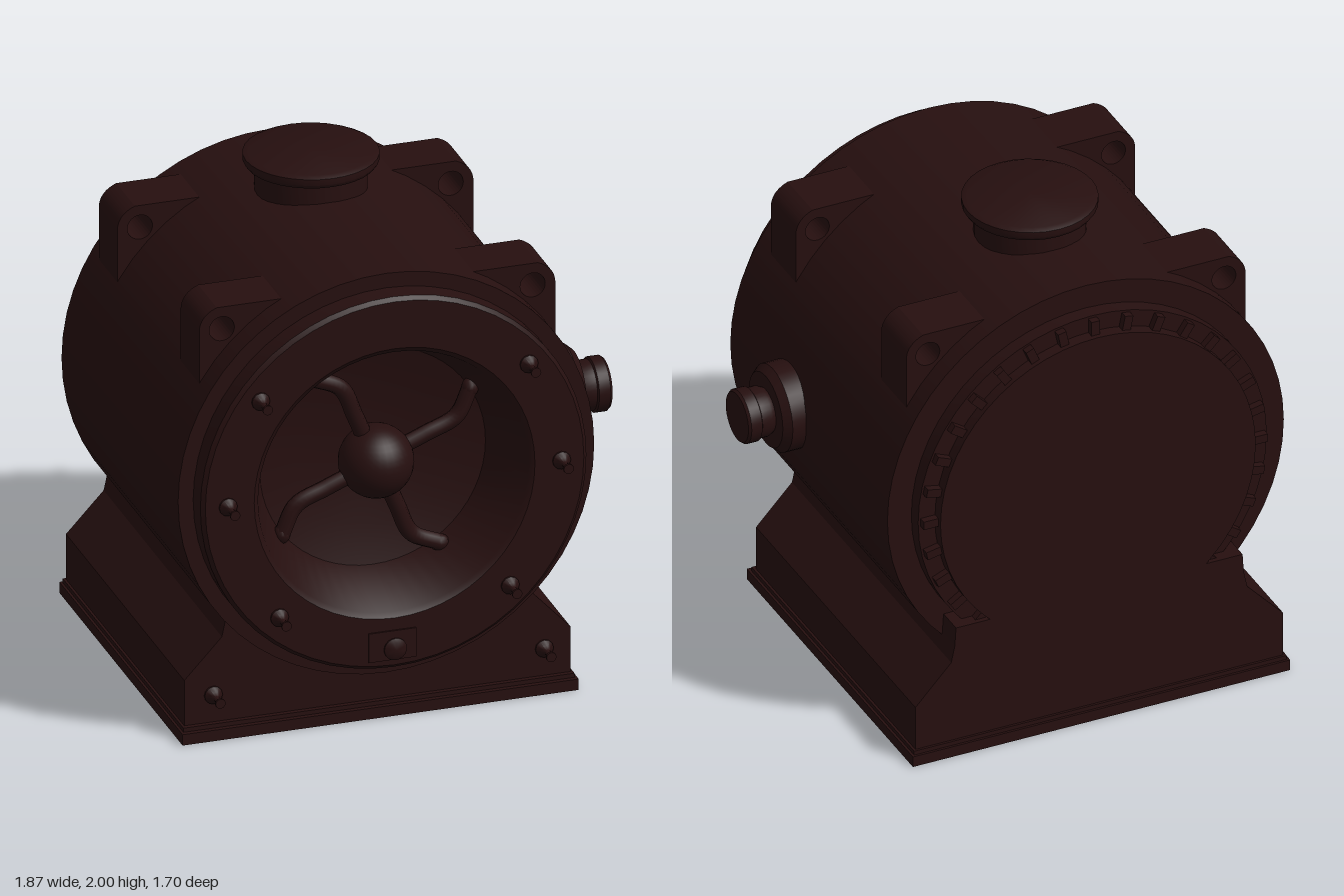
import * as THREE from 'three';
import { toCreasedNormals } from 'three/addons/utils/BufferGeometryUtils.js';

export function createModel() {
  const model = new THREE.Group();
  model.name = 'motorHousing';
  const iron = new THREE.MeshStandardMaterial({ color: 0x260f0f });
  iron.name = 'darkIron';
  const CX = -0.105, CY = 1.04; // drum axis

  const add = (name, geometry, x = 0, y = 0, z = 0, parent = model) => {
    const mesh = new THREE.Mesh(geometry, iron);
    mesh.name = name;
    mesh.position.set(x, y, z);
    parent.add(mesh);
    return mesh;
  };
  // Revolved profile of [radius, height] pairs, listed bottom to top
  const lathe = (profile, segments = 32) => toCreasedNormals(
    new THREE.LatheGeometry(profile.map(([r, h]) => new THREE.Vector2(r, h)), segments), 0.6);
  const extrude = (shape, depth) => new THREE.ExtrudeGeometry(shape,
    { depth, bevelEnabled: false, curveSegments: 16 });

  // Drum with stepped rear cover, front ring and dished opening, in one profile
  const drum = lathe([
    [0, -0.83], [0.66, -0.83], [0.66, -0.78], [0.73, -0.78], [0.73, -0.72],
    [0.83, -0.72], [0.83, 0.66], [0.77, 0.66], [0.77, 0.745], [0.755, 0.76],
    [0.56, 0.76], [0.54, 0.745], [0.45, 0.5], [0.3, 0.46], [0, 0.44],
  ], 56).rotateX(Math.PI / 2);
  add('drumHousing', drum, CX, CY);

  // Raised ribs round the rim of the rear cover
  for (let i = 0; i < 32; i++) {
    const a = i / 32 * Math.PI * 2;
    const rib = add('rearRib', new THREE.BoxGeometry(0.07, 0.035, 0.05),
      CX + Math.cos(a) * 0.685, CY + Math.sin(a) * 0.685, -0.785);
    rib.rotation.z = a;
  }

  // Pedestal with sloping shoulders
  const outline = [[-0.77, 0.05], [0.77, 0.05], [0.77, 0.25], [0.62, 0.41],
    [0.605, 0.48], [0.6, 0.56], [-0.6, 0.56], [-0.605, 0.48], [-0.62, 0.41], [-0.77, 0.25]];
  add('pedestal', extrude(new THREE.Shape(outline.map(([x, y]) => new THREE.Vector2(x, y))), 1.4),
    -0.11, 0, -0.83);

  // Foot plate with a narrow chamfered lip
  add('footPlate', new THREE.BoxGeometry(1.58, 0.045, 1.46), -0.11, 0.0225, -0.12);
  add('footLip', new THREE.BoxGeometry(1.56, 0.02, 1.43), -0.11, 0.052, -0.125);

  // Four lifting lugs with rounded corners and eye holes
  for (const side of [-1, 1]) {
    for (const z of [0.335, -0.635]) {
      const s = new THREE.Shape();
      s.moveTo(0.28, 1.45 - CY);
      s.lineTo(0.71, 1.45 - CY);
      s.lineTo(0.71, 1.69 - CY);
      s.quadraticCurveTo(0.705, 1.75 - CY, 0.64, 1.775 - CY);
      s.lineTo(0.37, 1.775 - CY);
      const eye = new THREE.Path();
      eye.absarc(0.62, 1.685 - CY, 0.05, 0, Math.PI * 2, true);
      s.holes.push(eye);
      const g = extrude(s, 0.22);
      if (side < 0) g.rotateY(Math.PI).translate(0, 0, 0.22);
      add('liftingLug', g, CX, CY, z);
    }
  }

  // Top port
  add('topPort', lathe([[0.215, 1.78], [0.215, 1.945], [0.25, 1.95], [0.26, 1.965],
    [0.26, 1.99], [0.24, 2], [0, 2]]), CX, 0, -0.23);

  // Side port: collar, stepped nozzle and thread rings
  const sidePort = lathe([[0.175, 0.66], [0.175, 0.78], [0.15, 0.81], [0.09, 0.81],
    [0.1, 0.83], [0.1, 0.87], [0.108, 0.875], [0.108, 0.92], [0.1, 0.93], [0, 0.93]])
    .rotateZ(-Math.PI / 2);
  add('sidePort', sidePort, 0, 1.05, 0.17);

  // Fan: domed hub and four curled blades
  const fan = new THREE.Group();
  fan.name = 'fan';
  fan.position.set(CX, CY, 0.54);
  model.add(fan);
  add('fanHub', new THREE.SphereGeometry(0.145, 32, 20), 0, 0, 0, fan);
  const bladePath = new THREE.CatmullRomCurve3([
    new THREE.Vector3(0.04, -0.09, 0), new THREE.Vector3(0.085, -0.2, 0),
    new THREE.Vector3(0.14, -0.32, 0), new THREE.Vector3(0.25, -0.375, 0),
  ]);
  for (let i = 0; i < 4; i++) {
    const blade = add('fanBlade', new THREE.TubeGeometry(bladePath, 20, 0.033, 8), 0, 0, 0, fan);
    blade.rotation.z = i * Math.PI / 2;
    const tip = add('fanBladeTip', new THREE.SphereGeometry(0.033, 12, 8), 0.25, -0.375, 0, blade);
    tip.scale.x = 1.2;
  }

  // Studs on the front ring and on the pedestal
  const stud = lathe([[0.036, -0.02], [0.036, 0.008], [0.02, 0.025], [0.011, 0.04], [0.011, 0.075],
    [0.02, 0.08], [0.02, 0.09], [0, 0.09]], 12).rotateX(Math.PI / 2);
  for (const side of [-1, 1]) {
    for (const [x, y] of [[0.535, 1.46], [0.665, 1.04], [0.46, 0.55]]) {
      add('ringStud', stud, CX + side * x, y, 0.76);
    }
    add('pedestalStud', stud, CX + side * 0.66, 0.175, 0.57);
  }

  // Small latch block with a round knob at the bottom of the ring
  add('latchBlock', new THREE.BoxGeometry(0.19, 0.12, 0.2), -0.115, 0.37, 0.667);
  const knob = lathe([[0.045, 0], [0.045, 0.008], [0.03, 0.016], [0, 0.018]], 20).rotateX(Math.PI / 2);
  add('latchKnob', knob, -0.105, 0.355, 0.766);

  return model;
}
